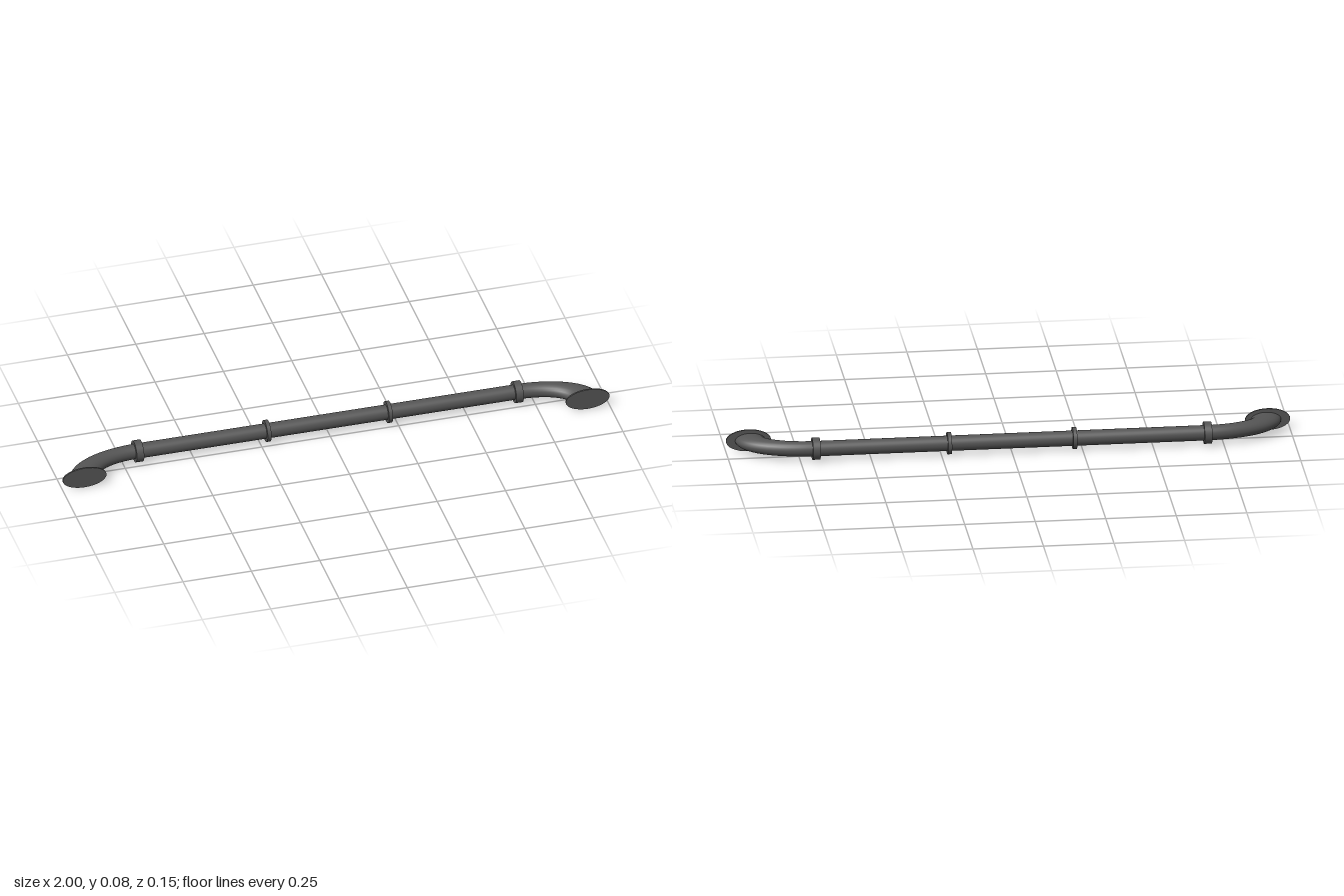
import * as THREE from 'three';

const AXIS_Z = -0.037; // depth of the straight bar
const RADIUS = 0.027;
const JOINT_X = 0.694; // where the bar meets each elbow

export function createModel() {
  const model = new THREE.Group();
  model.name = 'grabRail';
  const metal = new THREE.MeshStandardMaterial({ color: 0x555555 });

  function add(parent, name, geometry, x, z) {
    const mesh = new THREE.Mesh(geometry, metal);
    mesh.name = name;
    mesh.position.set(x, 0, z);
    parent.add(mesh);
  }

  // All parts share one centre height
  const rail = new THREE.Group();
  rail.name = 'rail';
  rail.position.y = 0.04;
  model.add(rail);

  // Straight bar along x
  add(rail, 'bar', new THREE.CylinderGeometry(RADIUS, RADIUS, JOINT_X * 2, 32).rotateZ(Math.PI / 2), 0, AXIS_Z);

  // Each end is the same assembly, turned half way round the bar's plane
  for (const side of [1, -1]) {
    const end = new THREE.Group();
    end.name = side > 0 ? 'leftEnd' : 'rightEnd';
    if (side < 0) end.rotation.z = Math.PI;
    rail.add(end);

    // Collars: a wide one at the elbow joint, a narrow one on the bar
    for (const [name, x, width] of [['jointCollar', JOINT_X, 0.027], ['barCollar', 0.222, 0.014]]) {
      add(end, name, new THREE.CylinderGeometry(0.039, 0.039, width, 32).rotateZ(Math.PI / 2), x, AXIS_Z);
    }

    // Elbow, a quarter ring stretched along x
    const elbow = new THREE.TorusGeometry(0.11, RADIUS, 24, 16, Math.PI / 2);
    elbow.rotateX(-Math.PI / 2).scale(2, 1, 1);
    add(end, 'elbow', elbow, JOINT_X, 0.073);

    // Oval wall flange
    const flange = new THREE.CylinderGeometry(0.04, 0.04, 0.006, 32);
    flange.rotateX(Math.PI / 2).scale(2, 1, 1);
    add(end, 'wallFlange', flange, 0.92, 0.074);
  }
  return model;
}
